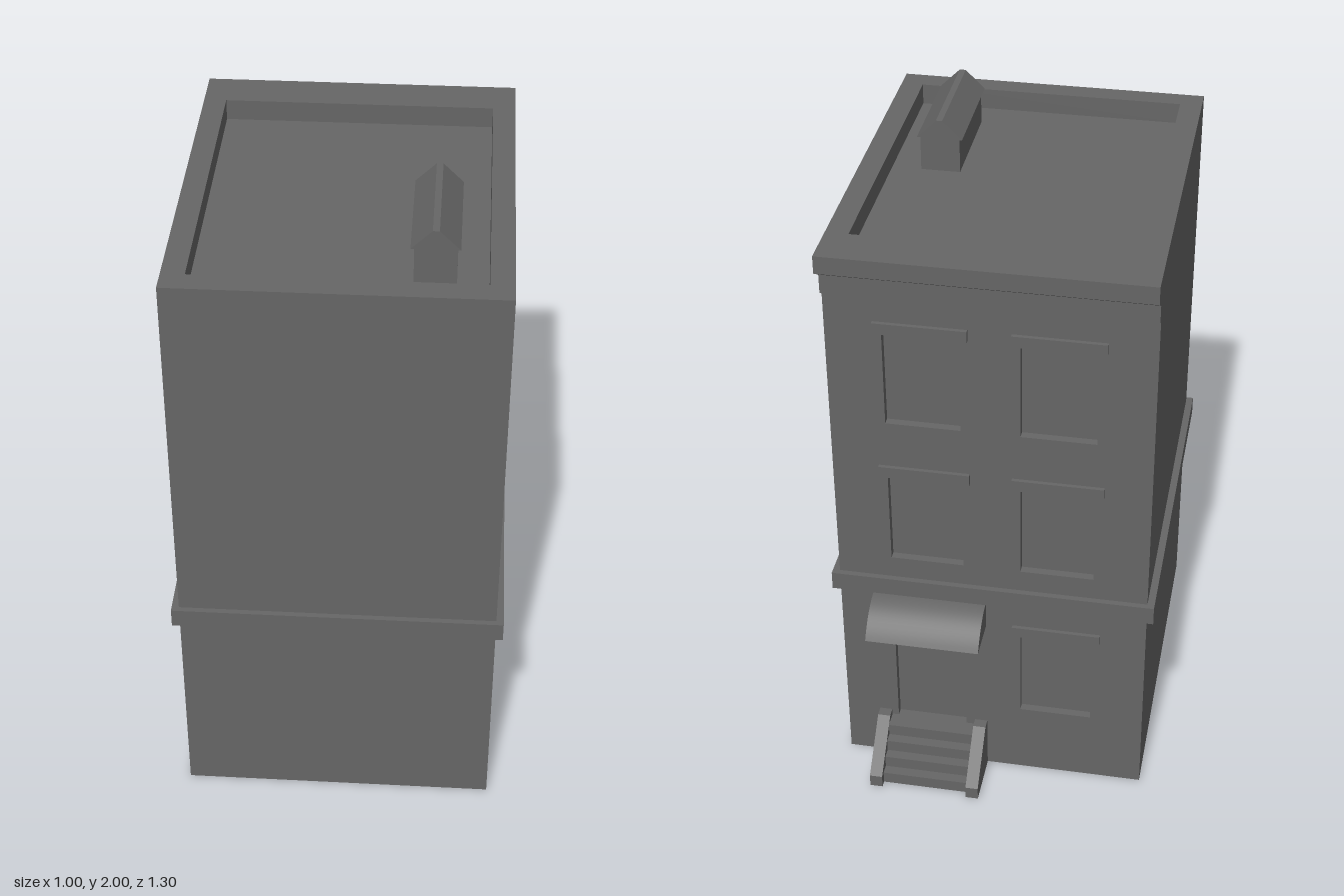
import * as THREE from 'three';
import { toCreasedNormals } from 'three/addons/utils/BufferGeometryUtils.js';

export function createModel() {
  const group = new THREE.Group();
  const material = new THREE.MeshStandardMaterial({ color: 0x666666, side: THREE.DoubleSide });

  const W = 0.478, BACK = -0.48, FRONT = 0.635, ROOF = 1.83, TOP = 1.895;

  function add(name, geometry) {
    const mesh = new THREE.Mesh(geometry, material);
    mesh.name = name;
    group.add(mesh);
    return mesh;
  }
  // Box given by its limits on each axis
  function boxGeometry(x0, x1, y0, y1, z0, z1) {
    return new THREE.BoxGeometry(x1 - x0, y1 - y0, z1 - z0)
      .translate((x0 + x1) / 2, (y0 + y1) / 2, (z0 + z1) / 2);
  }
  const box = (name, ...limits) => add(name, boxGeometry(...limits));
  const shapeOf = (pts) => new THREE.Shape(pts.map(([x, y]) => new THREE.Vector2(x, y)));
  const rect = (x0, x1, y0, y1) => [[x0, y0], [x1, y0], [x1, y1], [x0, y1]];
  const extrude = (shape, depth) => new THREE.ExtrudeGeometry(shape, { depth, bevelEnabled: false });
  // Profile of [z, y] points swept along x
  function sweepX(pts, x0, x1) {
    return extrude(shapeOf(pts), x1 - x0).rotateY(-Math.PI / 2).translate(x1, 0, 0);
  }

  // Plain walls, open at the bottom
  const depth = FRONT - BACK, midZ = (FRONT + BACK) / 2;
  add('frontWall', new THREE.PlaneGeometry(2 * W, ROOF).translate(0, ROOF / 2, FRONT));
  for (const s of [-1, 1]) {
    const g = new THREE.PlaneGeometry(depth, ROOF).rotateY(s * Math.PI / 2);
    add(s > 0 ? 'leftWall' : 'rightWall', g.translate(s * W, ROOF / 2, midZ));
  }

  // Street wall with recessed windows and door
  const RECESS = 0.025, HALF = 0.112;
  const wall = shapeOf(rect(-W, W, 0, ROOF));
  for (const lintelY of [0.56, 1.125, 1.625]) {
    for (const x of [-0.2, 0.2]) {
      const isDoor = x > 0 && lintelY < 1;
      const y0 = isDoor ? 0.16 : lintelY - 0.312;
      // Mirrored in x, as the wall is turned to face the street
      wall.holes.push(shapeOf(rect(-x - HALF, -x + HALF, y0, lintelY)));
      // Recess: a box without its street side
      const recess = boxGeometry(x - HALF, x + HALF, y0, lintelY, BACK, BACK + RECESS);
      recess.setIndex([...recess.index.array].slice(0, 30));
      add(isDoor ? 'door' : 'window', recess);
      if (!isDoor) {
        box('lintel', x - 0.137, x + 0.137, lintelY, lintelY + 0.036, BACK - 0.012, BACK);
      }
    }
  }
  add('streetWall', new THREE.ShapeGeometry(wall).rotateY(Math.PI).translate(0, 0, BACK));

  // Band around the building, also the ceiling of the ground floor
  box('storeyBand', -0.5, 0.5, 0.68, 0.74, -0.498, 0.652);

  // Parapet ring and sunken roof
  const ring = shapeOf(rect(-W, W, -FRONT, -BACK));
  ring.holes.push(shapeOf(rect(-0.41, 0.41, -0.565, 0.41)));
  add('parapet', extrude(ring, TOP - ROOF).rotateX(-Math.PI / 2).translate(0, ROOF, 0));
  add('roof', new THREE.PlaneGeometry(2 * W, depth).rotateX(-Math.PI / 2).translate(0, ROOF, midZ));

  // Cornice above the street wall
  add('cornice', sweepX([[BACK, 1.75], [-0.5, 1.75], [-0.5, 1.81], [-0.547, 1.84],
    [-0.547, TOP], [BACK, TOP]], -W, W));

  // Chimney with a ridged cap
  box('chimney', 0.202, 0.321, ROOF, 1.942, 0.125, 0.465);
  const cap = shapeOf([[0.192, 1.942], [0.329, 1.942], [0.27, 2], [0.251, 2]]);
  add('chimneyCap', extrude(cap, 0.36).translate(0, 0, 0.113));

  // Rounded awning over the door
  const awning = [[BACK, 0.582]];
  const a0 = 0.7;
  for (let i = 0; i <= 12; i++) {
    const a = a0 + (i / 12) * (Math.PI / 2 - a0);
    awning.push([
      BACK - 0.135 * Math.cos(a) / Math.cos(a0),
      0.582 + 0.09 * (Math.sin(a) - Math.sin(a0)) / (1 - Math.sin(a0)),
    ]);
  }
  add('awning', toCreasedNormals(sweepX(awning, 0.02, 0.373), 0.5));

  // Stair cheeks
  const cheek = [[BACK, 0], [-0.652, 0], [-0.652, 0.042], [-0.512, 0.18], [BACK, 0.18]];
  for (const x of [0.02, 0.333]) add('stairCheek', sweepX(cheek, x, x + 0.04));

  // Steps as open risers and treads between the cheeks
  const N = 4, rise = 0.04, run = 0.032, width = 0.273;
  for (let i = 0; i < N; i++) {
    const z = -0.63 + i * run, y = (i + 1) * rise;
    const zEnd = i === N - 1 ? BACK : z + run;
    add('riser', new THREE.PlaneGeometry(width, rise).rotateY(Math.PI).translate(0.1965, y - rise / 2, z));
    add('tread', new THREE.PlaneGeometry(width, zEnd - z).rotateX(-Math.PI / 2)
      .translate(0.1965, y, (z + zEnd) / 2));
  }

  return group;
}
